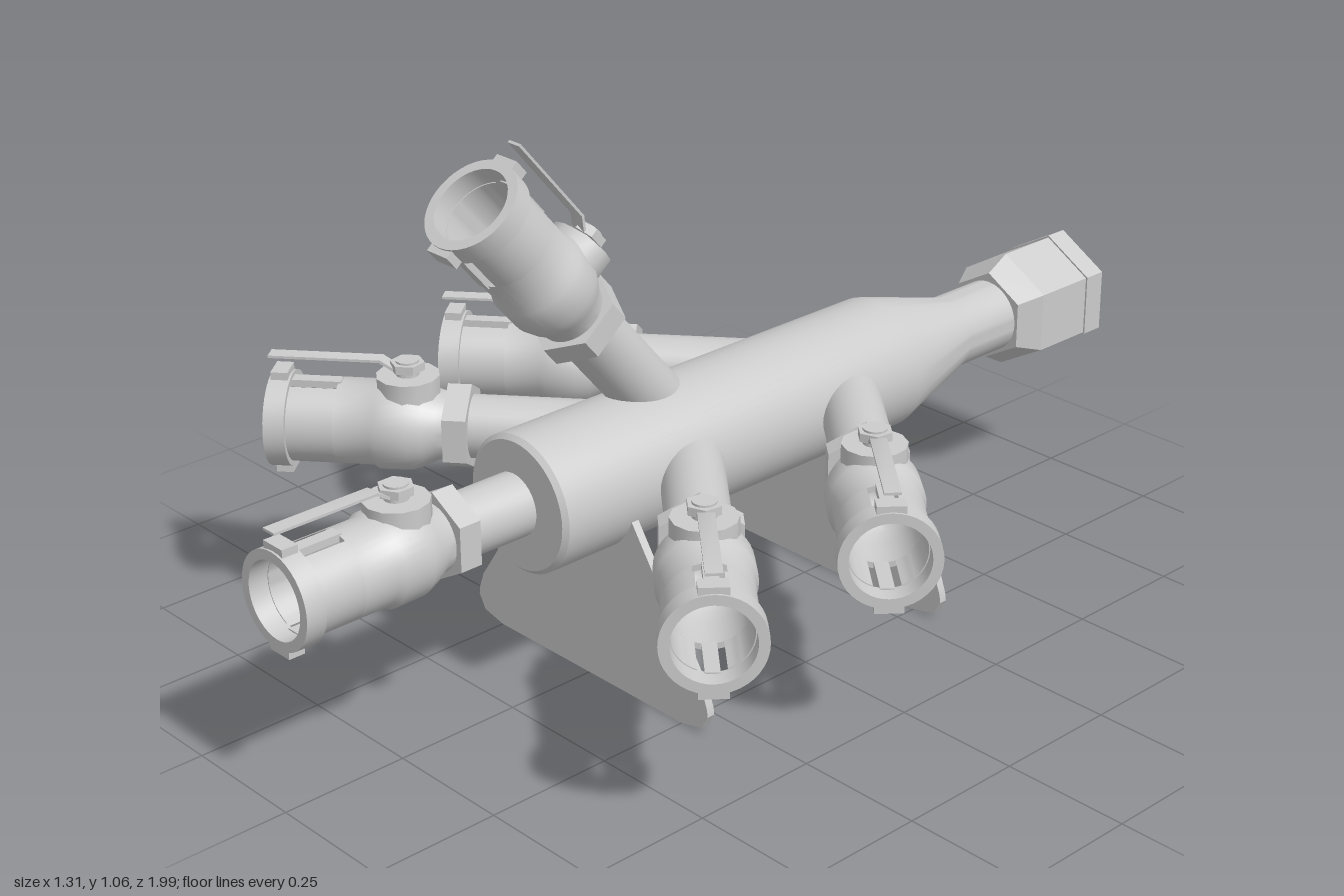
import * as THREE from 'three';
import { toCreasedNormals } from 'three/addons/utils/BufferGeometryUtils.js';

const material = new THREE.MeshStandardMaterial({ color: 0xcccccc });
const shellMaterial = new THREE.MeshStandardMaterial({ color: 0xcccccc, side: THREE.DoubleSide });
const V = (x, y, z) => new THREE.Vector3(x, y, z);

function add(parent, name, geometry, x = 0, y = 0, z = 0, mat = material) {
  const mesh = new THREE.Mesh(toCreasedNormals(geometry, 0.6), mat);
  mesh.name = name;
  mesh.position.set(x, y, z);
  parent.add(mesh);
  return mesh;
}

function lathe(profile, segments = 40, start = 0, length = Math.PI * 2) {
  return new THREE.LatheGeometry(profile.map(([r, y]) => new THREE.Vector2(r, y)), segments, start, length);
}

// A group whose local y runs along "axis" and local z along "up"
function alignedGroup(name, origin, axis, up) {
  const group = new THREE.Group();
  group.name = name;
  group.quaternion.setFromRotationMatrix(
    new THREE.Matrix4().makeBasis(V(0, 0, 0).crossVectors(axis, up), axis, up));
  group.position.copy(origin);
  return group;
}

function hexNut(bottomRadius, topRadius, height) {
  return new THREE.CylinderGeometry(topRadius, bottomRadius, height, 6);
}

// Ball valve with slotted socket, running along local y, lever on local +z
function createValve() {
  const valve = new THREE.Group();
  valve.name = 'valve';
  add(valve, 'valveNut', hexNut(0.085, 0.085, 0.045), 0, 0.0225, 0);

  // Bulged housing with a round-bottomed bore
  add(valve, 'valveHousing', lathe([
    [0, 0.04], [0.062, 0.04], [0.066, 0.062], [0.078, 0.085], [0.087, 0.11], [0.088, 0.17],
    [0.081, 0.182], [0.081, 0.25], [0.07, 0.25], [0.07, 0.18], [0.065, 0.15], [0.05, 0.12],
    [0.027, 0.102], [0, 0.097]
  ]), 0, 0, 0, shellMaterial);

  // Two socket walls leave slots on the lever side and opposite it
  const gap = 0.36;
  for (const start of [gap, Math.PI + gap]) {
    add(valve, 'socketWall', lathe(
      [[0.07, 0.25], [0.081, 0.25], [0.081, 0.34], [0.07, 0.34], [0.07, 0.25]],
      18, start, Math.PI - 2 * gap), 0, 0, 0, shellMaterial);
  }
  add(valve, 'socketRim', lathe(
    [[0.072, 0.338], [0.091, 0.338], [0.091, 0.378], [0.072, 0.378], [0.072, 0.338]]));

  // Latches in the slots
  for (const side of [1, -1]) {
    add(valve, 'latchArm', new THREE.BoxGeometry(0.026, 0.1, 0.014), 0, 0.295, side * 0.076);
    add(valve, 'latchEar', new THREE.BoxGeometry(0.052, 0.032, 0.024), 0, 0.358, side * 0.09);
  }

  // Stem and bent lever
  const rotated = (r, h, n) => new THREE.CylinderGeometry(r, r, h, n).rotateX(Math.PI / 2);
  add(valve, 'stemBoss', rotated(0.06, 0.06, 12), 0, 0.12, 0.07);
  add(valve, 'stem', rotated(0.022, 0.04, 16), 0, 0.12, 0.11);
  add(valve, 'stemNut', rotated(0.033, 0.016, 6), 0, 0.12, 0.118);
  const strip = new THREE.Shape([
    [0.1, 0.11], [0.145, 0.11], [0.17, 0.126], [0.38, 0.126],
    [0.38, 0.131], [0.168, 0.131], [0.143, 0.115], [0.1, 0.115]
  ].map(([s, h]) => new THREE.Vector2(s, h)));
  const lever = new THREE.ExtrudeGeometry(strip, { depth: 0.03, bevelEnabled: false });
  lever.translate(0, 0, -0.015);
  lever.applyMatrix4(new THREE.Matrix4().makeBasis(V(0, 1, 0), V(0, 0, 1), V(1, 0, 0)));
  add(valve, 'lever', lever);
  return valve;
}

// Pipe stub ending in a valve
function createBranch(name, origin, axis, up, pipeLength) {
  const branch = alignedGroup(name, origin, axis, up);
  add(branch, 'branchPipe', new THREE.CylinderGeometry(0.06, 0.06, pipeLength + 0.01, 32),
    0, pipeLength / 2, 0);
  const valve = createValve();
  valve.position.y = pipeLength;
  branch.add(valve);
  return branch;
}

// Trapezoid foot with clipped lower corners
function createFoot() {
  const half = [[0.268, 0.004], [0.302, 0.012], [0.318, 0.04], [0.316, 0.055], [0.304, 0.088],
    [0.125, 0.352], [0.09, 0.4]];
  const points = [...half, ...half.map(([x, y]) => [-x, y]).reverse(), [-0.25, 0], [0.25, 0]];
  const shape = new THREE.Shape(points.map(([x, y]) => new THREE.Vector2(x, y)));
  return new THREE.ExtrudeGeometry(shape, { depth: 0.016, bevelEnabled: false }).translate(0, 0, -0.008);
}

export function createModel() {
  const model = new THREE.Group();
  model.name = 'pipeManifold';
  const axisHeight = 0.4;
  const up = V(0, 1, 0);

  // Main tube, tapering to the inlet; local y points to the back
  const main = alignedGroup('mainLine', V(0, axisHeight, 0), V(0, 0, -1), up);
  model.add(main);
  add(main, 'mainTube', lathe([
    [0, -0.475], [0.122, -0.475], [0.131, -0.466], [0.131, 0.43], [0.073, 0.64],
    [0.073, 0.79], [0, 0.79]
  ], 48));
  add(main, 'inletNutChamfer', hexNut(0.092, 0.12, 0.05), 0, 0.795, 0);
  add(main, 'inletNut', hexNut(0.12, 0.12, 0.135), 0, 0.8875, 0);
  add(main, 'inletCap', hexNut(0.124, 0.124, 0.047), 0, 0.9765, 0);

  // Angled side branches, two per side
  const angle = THREE.MathUtils.degToRad(50);
  const across = Math.sin(angle), forward = Math.cos(angle);
  for (const z of [-0.348, 0.064]) {
    for (const side of [1, -1]) {
      model.add(createBranch(side > 0 ? 'leftBranch' : 'rightBranch',
        V(0, axisHeight, z), V(side * across, 0, forward), up, 0.402));
    }
  }

  // Upper branch and straight front outlet
  model.add(createBranch('upperBranch', V(-0.015, axisHeight, 0.057),
    V(0, across, forward), V(0, forward, -across), 0.375));
  model.add(createBranch('frontOutlet', V(-0.007, axisHeight, 0.46), V(0, 0, 1), up, 0.15));

  // Support plates
  for (const z of [0.307, -0.303]) add(model, 'supportPlate', createFoot(), 0, 0, z);
  return model;
}
